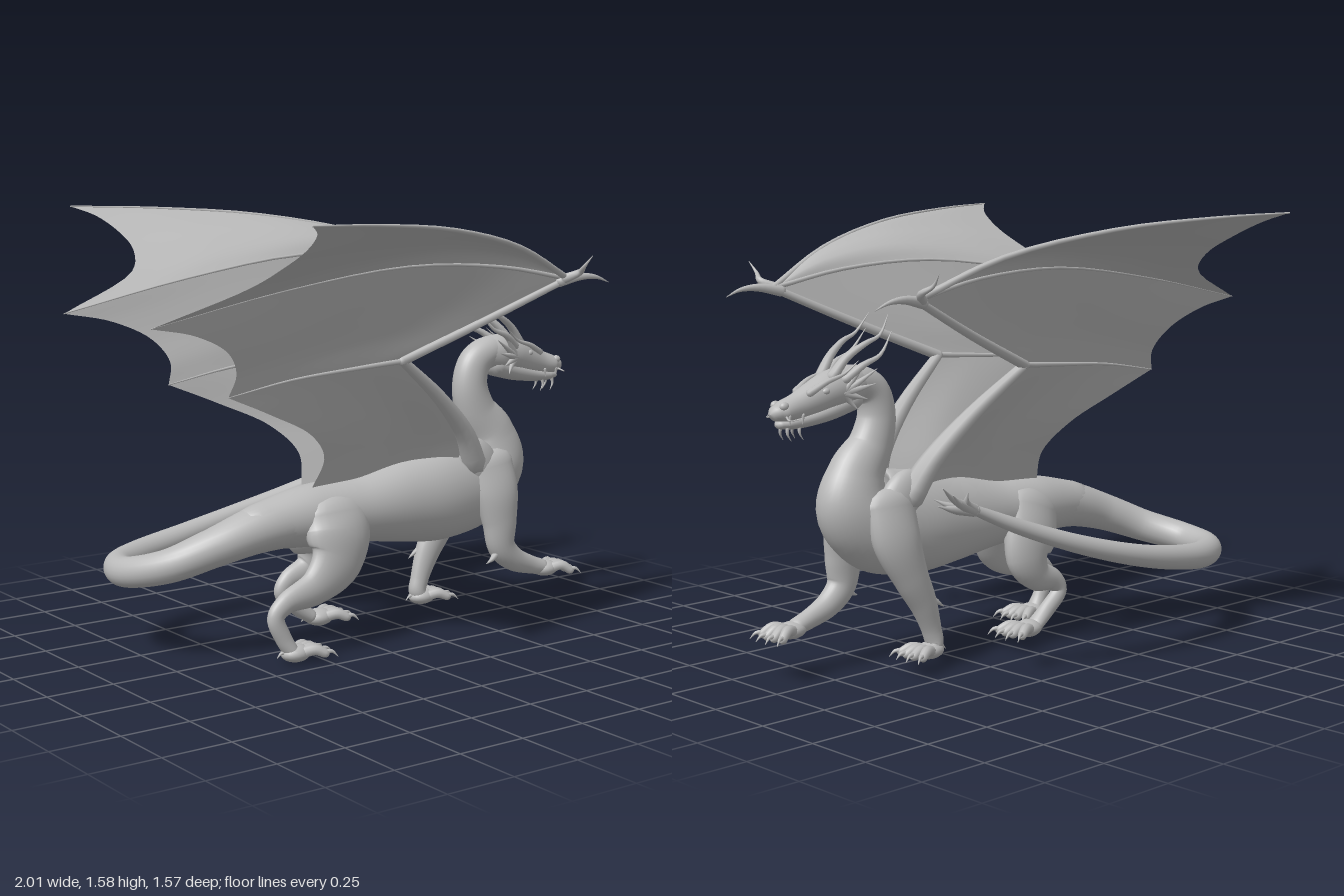
import * as THREE from 'three';

const V = (x, y, z) => new THREE.Vector3(x, y, z);

export function createModel() {
  const model = new THREE.Group();
  const hide = new THREE.MeshStandardMaterial({ color: 0xbababa, side: THREE.DoubleSide });
  hide.name = 'grey hide';

  function add(name, geo, parent = model) {
    const mesh = new THREE.Mesh(geo, hide);
    mesh.name = name;
    parent.add(mesh);
    return mesh;
  }

  // Smooth body of elliptical sections; rows are [x, y, z, radius along ref, other radius]
  function loft(name, rows, parent = model, ref = V(0, 0, 1), sides = 24, per = 7) {
    const path = new THREE.CatmullRomCurve3(rows.map(r => V(r[0], r[1], r[2])));
    const size = new THREE.CatmullRomCurve3(rows.map(r => V(r[3], r[4] ?? r[3], 0)));
    const steps = (rows.length - 1) * per, rings = [];
    const ring = (t, lift, k) => {
      const c = path.getPoint(t), d = path.getTangent(t), s = size.getPoint(t);
      c.addScaledVector(d, lift * Math.min(s.x, s.y));
      const n = ref.clone().addScaledVector(d, -ref.dot(d)).normalize();
      rings.push([c, n, d.clone().cross(n), Math.max(s.x, 0.0005) * k, Math.max(s.y, 0.0005) * k]);
    };
    for (const a of [90, 60, 30]) ring(0, -Math.sin(a * Math.PI / 180), Math.cos(a * Math.PI / 180));
    for (let i = 0; i <= steps; i++) ring(i / steps, 0, 1);
    for (const a of [30, 60, 90]) ring(1, Math.sin(a * Math.PI / 180), Math.cos(a * Math.PI / 180));
    const pos = [], idx = [];
    rings.forEach(([c, n, m, a, b], i) => {
      for (let j = 0; j < sides; j++) {
        const q = j / sides * Math.PI * 2;
        const p = c.clone().addScaledVector(n, a * Math.cos(q)).addScaledVector(m, b * Math.sin(q));
        pos.push(p.x, p.y, p.z);
        if (i) {
          const k = (j + 1) % sides, o = (i - 1) * sides, u = i * sides;
          idx.push(o + j, o + k, u + k, o + j, u + k, u + j);
        }
      }
    });
    const geo = new THREE.BufferGeometry();
    geo.setAttribute('position', new THREE.Float32BufferAttribute(pos, 3));
    geo.setIndex(idx);
    geo.computeVertexNormals();
    return add(name, geo, parent);
  }

  // Tapering spike through points
  function spike(name, pts, r, parent, tip = 0.001) {
    const rows = pts.map((p, i) => [...p, r + (tip - r) * i / (pts.length - 1)]);
    const d = V(...pts[pts.length - 1]).sub(V(...pts[0])).normalize();
    return loft(name, rows, parent, Math.abs(d.z) > 0.7 ? V(0, 1, 0) : V(0, 0, 1), 8, 4);
  }

  function ball(name, x, y, z, rx, ry, rz, parent) {
    const m = add(name, new THREE.SphereGeometry(1, 20, 14), parent);
    m.position.set(x, y, z);
    m.scale.set(rx, ry, rz);
    return m;
  }

  // Trunk and neck
  loft('trunkAndNeck', [
    [-0.42, 0.468, 0, 0.08, 0.082], [-0.2, 0.485, 0, 0.11, 0.113], [0, 0.487, 0, 0.12, 0.122],
    [0.2, 0.495, 0, 0.135, 0.158], [0.4, 0.505, 0, 0.142, 0.185], [0.56, 0.535, 0, 0.13, 0.183],
    [0.655, 0.6, 0, 0.11, 0.15], [0.645, 0.7, 0, 0.086, 0.11], [0.58, 0.8, 0, 0.067, 0.083],
    [0.553, 0.9, 0, 0.06, 0.071], [0.575, 0.98, 0, 0.056, 0.066], [0.64, 1.02, 0, 0.056, 0.058],
    [0.71, 1.02, 0, 0.05, 0.05]], model, V(0, 0, 1), 32);

  // Tail sweeping round to the far side, with a barbed tip
  loft('tail', [
    [-0.25, 0.482, 0, 0.1], [-0.42, 0.46, 0, 0.085], [-0.58, 0.412, -0.025, 0.07], [-0.72, 0.352, -0.1, 0.061],
    [-0.8, 0.313, -0.25, 0.055], [-0.755, 0.306, -0.39, 0.053], [-0.61, 0.313, -0.49, 0.05],
    [-0.4, 0.34, -0.54, 0.045], [-0.15, 0.39, -0.555, 0.039], [0.1, 0.46, -0.525, 0.033],
    [0.32, 0.54, -0.475, 0.027], [0.46, 0.6, -0.445, 0.02], [0.55, 0.64, -0.435, 0.014]], model, V(0, 1, 0));
  const barb = new THREE.Group();
  barb.name = 'tailBarb';
  model.add(barb);
  for (const [x, y, z] of [[0.69, 0.72, -0.485], [0.58, 0.62, -0.38], [0.57, 0.69, -0.475], [0.64, 0.665, -0.39], [0.64, 0.69, -0.48], [0.66, 0.65, -0.43]])
    spike('barbSpine', [[0.51, 0.62, -0.44], [(0.51 + x) / 2 + 0.02, (0.62 + y) / 2, (z - 0.44) / 2], [x, y, z]], 0.022, barb);

  // Head
  const head = new THREE.Group();
  head.name = 'head';
  model.add(head);
  loft('skullAndSnout', [
    [0.62, 1.015, 0, 0.052, 0.06], [0.69, 1.012, 0, 0.064, 0.07], [0.76, 1.002, 0, 0.062, 0.066],
    [0.83, 0.98, 0, 0.052, 0.058], [0.9, 0.959, 0, 0.043, 0.046], [0.955, 0.948, 0, 0.042, 0.038],
    [0.98, 0.945, 0, 0.032, 0.028]], head);
  loft('lowerJaw', [
    [0.67, 0.965, 0, 0.05, 0.042], [0.77, 0.935, 0, 0.047, 0.036], [0.87, 0.914, 0, 0.038, 0.027],
    [0.94, 0.907, 0, 0.032, 0.021], [0.97, 0.906, 0, 0.022, 0.015]], head);
  for (const s of [1, -1]) {
    ball('eye', 0.81, 1.006, s * 0.046, 0.016, 0.012, 0.012, head);
    ball('nostril', 0.968, 0.968, s * 0.024, 0.018, 0.015, 0.014, head);
    spike('browRidge', [[0.87, 1.005, s * 0.036], [0.81, 1.037, s * 0.05], [0.74, 1.06, s * 0.058], [0.69, 1.1, s * 0.07]], 0.014, head);
    spike('upperHorn', [[0.77, 1.05, s * 0.03], [0.72, 1.11, s * 0.042], [0.65, 1.155, s * 0.06], [0.59, 1.18, s * 0.064], [0.54, 1.245, s * 0.05]], 0.02, head);
    spike('sideHorn', [[0.73, 1.04, s * 0.05], [0.67, 1.085, s * 0.072], [0.6, 1.115, s * 0.078], [0.54, 1.19, s * 0.068]], 0.018, head);
    const frill = [[0.62, 1.07, 0.085], [0.63, 1.02, 0.088], [0.66, 0.97, 0.08], [0.69, 0.935, 0.068], [0.66, 1.1, 0.078]];
    for (const [x, y, z] of frill)
      spike('cheekSpine', [[0.74, 0.995, s * 0.045], [(x + 0.74) / 2, (y + 0.995) / 2, s * (z - 0.015)], [x, y, s * z]], 0.018, head);
    spike('whisker', [[0.965, 0.935, s * 0.03], [0.975, 0.925, s * 0.06], [0.95, 0.93, s * 0.085]], 0.004, head);
    for (const x of [0.955, 0.9])
      spike('fang', [[x, 0.935, s * 0.036], [x + 0.003, 0.905, s * 0.038]], 0.006, head);
    for (const x of [0.95, 0.9])
      spike('chinSpine', [[x, 0.9, s * 0.016], [x + 0.004, 0.875, s * 0.02], [x - 0.01, 0.85, s * 0.022]], 0.008, head);
  }

  // Paw with four clawed toes pointing forward and a rear spur
  function paw(parent, x, y, z, k, drop) {
    ball('pawPad', x, y, z, 0.058 * k, 0.032 * k, 0.047 * k, parent);
    for (let i = 0; i < 4; i++) {
      const a = (i - 1.5) * 0.3, c = Math.cos(a) * k, w = Math.sin(a) * k;
      const at = (d, h) => [x + d * c, y + h * k, z + d * w + (i - 1.5) * 0.011];
      loft('toe', [[...at(0.02, 0.004), 0.021 * k], [...at(0.06, 0.012), 0.02 * k], [...at(0.095, drop), 0.017 * k]], parent, V(0, 1, 0), 10, 4);
      spike('claw', [at(0.095, drop + 0.004), at(0.12, drop + 0.006), at(0.142, drop - 0.014)], 0.012 * k, parent);
    }
    spike('spur', [[x - 0.03 * k, y, z], [x - 0.06 * k, y + 0.008, z], [x - 0.08 * k, y - 0.008, z]], 0.012 * k, parent);
  }

  // Legs: section rows, then paw position
  const legs = {
    leftForeleg: [[[0.575, 0.61, 0.092, 0.05, 0.105], [0.59, 0.5, 0.117, 0.056, 0.098], [0.6, 0.39, 0.128, 0.049, 0.076],
      [0.61, 0.29, 0.13, 0.042, 0.058], [0.67, 0.232, 0.127, 0.038, 0.047], [0.76, 0.195, 0.123, 0.031, 0.036],
      [0.82, 0.178, 0.12, 0.034, 0.03]], [0.84, 0.17, 0.12, 0.95, -0.01]],
    rightForeleg: [[[0.575, 0.61, -0.092, 0.05, 0.105], [0.57, 0.49, -0.117, 0.056, 0.098], [0.515, 0.35, -0.128, 0.047, 0.07],
      [0.455, 0.24, -0.128, 0.038, 0.053], [0.415, 0.14, -0.125, 0.031, 0.038], [0.405, 0.09, -0.125, 0.033, 0.034],
      [0.43, 0.07, -0.125, 0.033, 0.024]], [0.425, 0.069, -0.125, 0.95, -0.002]],
    leftHindLeg: [[[-0.13, 0.505, 0.07, 0.06, 0.125], [-0.13, 0.43, 0.097, 0.064, 0.135], [-0.155, 0.335, 0.116, 0.053, 0.113],
      [-0.25, 0.255, 0.127, 0.04, 0.068], [-0.38, 0.215, 0.133, 0.03, 0.04], [-0.425, 0.17, 0.135, 0.026, 0.033],
      [-0.395, 0.09, 0.138, 0.027, 0.031], [-0.365, 0.04, 0.14, 0.033, 0.028]], [-0.345, 0.032, 0.14, 1, -0.002]],
    rightHindLeg: [[[-0.13, 0.505, -0.07, 0.06, 0.125], [-0.1, 0.42, -0.097, 0.064, 0.128], [-0.07, 0.325, -0.116, 0.053, 0.098],
      [-0.11, 0.255, -0.122, 0.04, 0.062], [-0.195, 0.222, -0.124, 0.03, 0.04], [-0.225, 0.18, -0.125, 0.026, 0.032],
      [-0.16, 0.115, -0.125, 0.027, 0.031], [-0.1, 0.07, -0.125, 0.033, 0.026]], [-0.06, 0.062, -0.125, 1, -0.002]],
  };
  for (const [name, [rows, foot]] of Object.entries(legs)) {
    const leg = new THREE.Group();
    leg.name = name;
    model.add(leg);
    loft('limb', rows, leg);
    paw(leg, ...foot);
  }
  spike('leftElbowSpur', [[0.6, 0.29, 0.135], [0.555, 0.25, 0.145], [0.52, 0.235, 0.15]], 0.02);
  spike('rightElbowSpur', [[0.44, 0.27, -0.13], [0.4, 0.24, -0.14], [0.375, 0.22, -0.145]], 0.016);

  // Membrane panel stretched between four edge curves
  function panel(parent, top, bottom, inner, outer) {
    const n = 24, pos = [], idx = [];
    const mix = (a, b, t) => a.clone().lerp(b, t);
    for (let i = 0; i <= n; i++) for (let j = 0; j <= n; j++) {
      const u = i / n, v = j / n;
      const p = mix(top.getPoint(u), bottom.getPoint(u), v).add(mix(inner.getPoint(v), outer.getPoint(v), u));
      p.sub(mix(mix(top.getPoint(0), bottom.getPoint(0), v), mix(top.getPoint(1), bottom.getPoint(1), v), u));
      pos.push(p.x, p.y, p.z);
      if (i && j) {
        const d = i * (n + 1) + j, c = d - 1, b = d - n - 1, a = b - 1;
        idx.push(a, b, d, a, d, c);
      }
    }
    const geo = new THREE.BufferGeometry();
    geo.setAttribute('position', new THREE.Float32BufferAttribute(pos, 3));
    geo.setIndex(idx);
    geo.computeVertexNormals();
    add('membrane', geo, parent);
  }

  // Wings
  for (const s of [1, -1]) {
    const wing = new THREE.Group();
    wing.name = s > 0 ? 'leftWing' : 'rightWing';
    model.add(wing);
    const edges = {
      lead: [[0.7, 1.32, 0.375], [0.4, 1.447, 0.465], [0, 1.53, 0.59], [-0.4, 1.564, 0.7], [-0.71, 1.576, 0.78]],
      middle: [[0.7, 1.32, 0.375], [0.4, 1.375, 0.355], [0, 1.393, 0.335], [-0.5, 1.333, 0.31], [-1, 1.238, 0.295]],
      lower: [[0.06, 1.05, 0.225], [-0.15, 1.035, 0.21], [-0.4, 1.015, 0.2], [-0.65, 0.975, 0.195]],
      forearm: [[0.7, 1.32, 0.375], [0.38, 1.18, 0.295], [0.06, 1.05, 0.225]],
      upperArm: [[0.06, 1.05, 0.225], [0.27, 0.89, 0.178], [0.42, 0.74, 0.135], [0.49, 0.62, 0.1]],
      root: [[0.49, 0.62, 0.1], [0.2, 0.635, 0.04], [0, 0.6, 0.03], [-0.2, 0.585, 0.03]],
      wrist: [[0.7, 1.32, 0.375], [0.7, 1.32, 0.375]],
      outerRim: [[-0.71, 1.576, 0.78], [-0.645, 1.543, 0.71], [-0.61, 1.487, 0.6], [-0.615, 1.43, 0.49], [-0.68, 1.36, 0.39], [-1, 1.238, 0.295]],
      midRim: [[-1, 1.238, 0.295], [-0.82, 1.2, 0.28], [-0.68, 1.13, 0.25], [-0.63, 1.05, 0.215], [-0.65, 0.975, 0.195]],
      innerRim: [[-0.65, 0.975, 0.195], [-0.46, 0.895, 0.17], [-0.265, 0.8, 0.13], [-0.178, 0.7, 0.08], [-0.2, 0.585, 0.03]],
    };
    const c = {}, m = {};
    for (const k in edges) {
      m[k] = edges[k].map(([x, y, z]) => [x, y, z * s]);
      c[k] = new THREE.CatmullRomCurve3(m[k].map(p => V(...p)));
    }
    panel(wing, c.lead, c.middle, c.wrist, c.outerRim);
    panel(wing, c.middle, c.lower, c.forearm, c.midRim);
    panel(wing, c.lower, c.root, c.upperArm, c.innerRim);
    spike('leadingFinger', m.lead, 0.013, wing, 0.003);
    spike('middleFinger', m.middle, 0.009, wing, 0.002);
    spike('lowerFinger', m.lower, 0.011, wing, 0.002);
    spike('forearm', m.forearm, 0.014, wing, 0.019);
    spike('upperArm', m.upperArm, 0.018, wing, 0.05);
    ball('shoulderBlade', 0.52, 0.61, s * 0.09, 0.115, 0.085, 0.047, wing).rotation.z = -0.9;
    spike('wristClaw', [[0.67, 1.31, s * 0.37], [0.76, 1.325, s * 0.383], [0.83, 1.32, s * 0.39], [0.89, 1.298, s * 0.39]], 0.02, wing);
    spike('thumbClaw', [[0.68, 1.32, s * 0.38], [0.72, 1.345, s * 0.42], [0.705, 1.37, s * 0.46], [0.712, 1.41, s * 0.495]], 0.018, wing);
  }
  return model;
}
